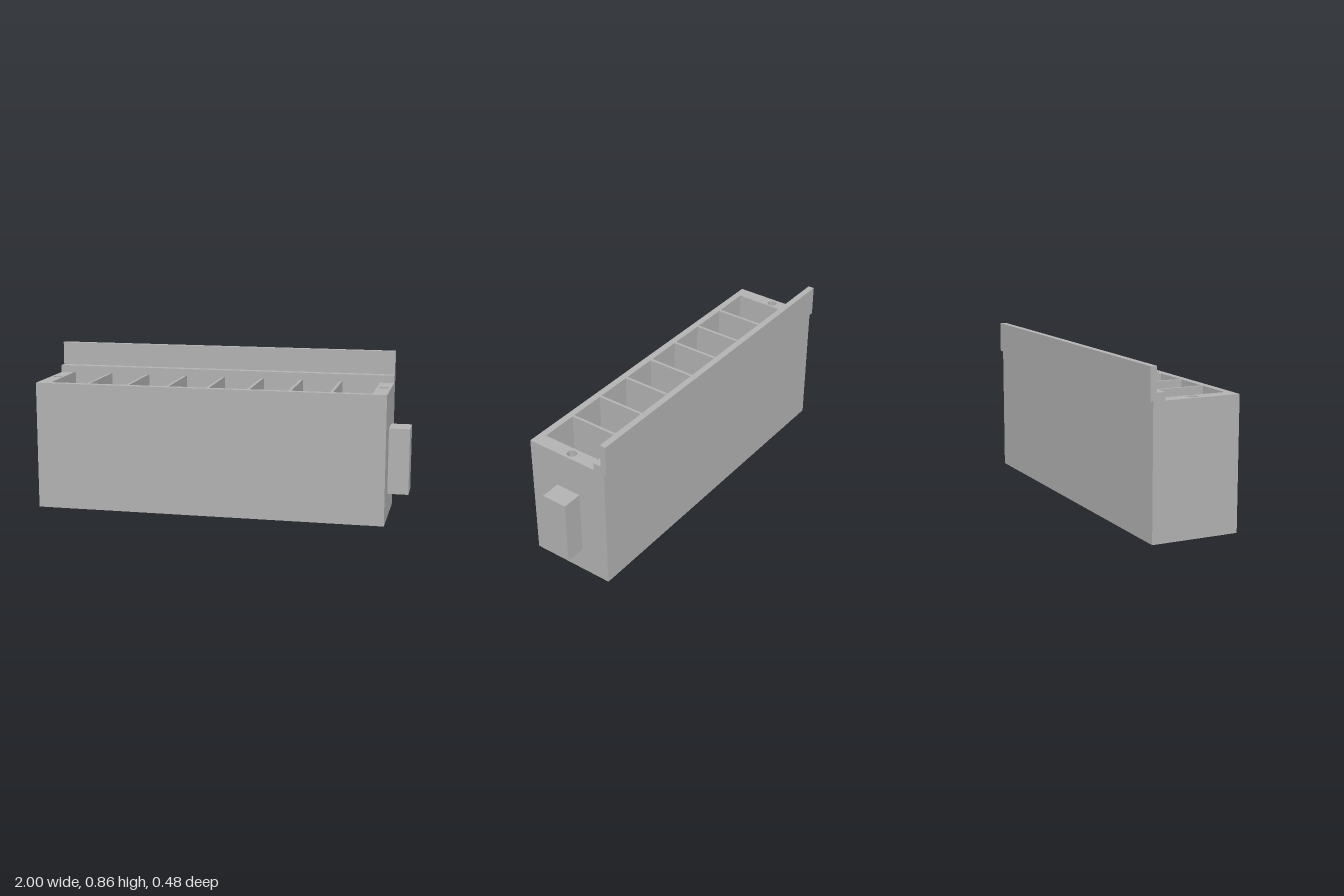
import * as THREE from 'three';
import { toCreasedNormals } from 'three/addons/utils/BufferGeometryUtils.js';

const X0 = -1, X1 = 0.89, Z0 = -0.227, Z1 = 0.242, H = 0.69;
const HOLE_X = [-0.96, 0.852], MID_Z = 0.005;

// Closed rectangular outline added to a shape or path
function rect(path, x0, y0, x1, y1) {
  path.moveTo(x0, y0);
  path.lineTo(x1, y0);
  path.lineTo(x1, y1);
  path.lineTo(x0, y1);
  path.closePath();
  return path;
}

// Plan of the housing with eight open cells; s is the sign relating shape y to z
function plan(s) {
  const shape = rect(new THREE.Shape(), X0, s * Z0, X1, s * Z1);
  const start = -0.925, cell = 0.2037, wall = 0.0155;
  for (let i = 0; i < 8; i++) {
    const x = start + i * (cell + wall);
    shape.holes.push(rect(new THREE.Path(), x, s * -0.19, x + cell, s * 0.205));
  }
  return shape;
}

function addRound(shape, x, y, r) {
  shape.holes.push(new THREE.Path().absarc(x, y, r, 0, Math.PI * 2));
}

export function createModel() {
  const model = new THREE.Group();
  const grey = new THREE.MeshStandardMaterial({ color: 0xb2b2b2, side: THREE.DoubleSide });
  grey.name = 'plain grey';

  const add = (name, geometry, parent = model) => {
    const mesh = new THREE.Mesh(geometry, grey);
    mesh.name = name;
    parent.add(mesh);
    return mesh;
  };

  // Housing: upright walls, then the pierced top and bottom faces
  const housing = new THREE.Group();
  housing.name = 'housing';
  model.add(housing);

  const walls = new THREE.ExtrudeGeometry(plan(-1), { depth: H, bevelEnabled: false });
  const sides = walls.groups.find(g => g.materialIndex === 1);
  const sideOnly = new THREE.BufferGeometry();
  for (const key of ['position', 'normal']) {
    const part = walls.attributes[key].array.slice(sides.start * 3, (sides.start + sides.count) * 3);
    sideOnly.setAttribute(key, new THREE.BufferAttribute(part, 3));
  }
  add('wallsAndDividers', sideOnly.rotateX(-Math.PI / 2), housing);

  const top = plan(-1), bottom = plan(1);

  // Blind screw holes: one per end on top, two per end underneath
  const cup = (name, x, z, r, yOpen, yFloor) => {
    const points = [[0, yFloor], [r, yFloor], [r, yOpen]].map(p => new THREE.Vector2(...p));
    const mesh = add(name, toCreasedNormals(new THREE.LatheGeometry(points, 24), 0.7), housing);
    mesh.position.set(x, 0, z);
  };
  for (const x of HOLE_X) {
    addRound(top, x, -MID_Z, 0.025);
    cup('topHole', x, MID_Z, 0.025, H, H - 0.15);
    for (const z of [MID_Z - 0.127, MID_Z + 0.127]) {
      addRound(bottom, x, z, 0.016);
      cup('bottomHole', x, z, 0.016, 0, 0.15);
    }
  }
  add('topFace', new THREE.ShapeGeometry(top, 24).rotateX(-Math.PI / 2).translate(0, H, 0), housing);
  add('bottomFace', new THREE.ShapeGeometry(bottom, 24).rotateX(Math.PI / 2), housing);

  // Stepped rail along the back edge: profile in (-z, y), extruded along x
  const profile = new THREE.Shape([
    [0.163, H], [0.242, H], [0.242, 0.856], [0.208, 0.856], [0.208, 0.73], [0.163, 0.73],
  ].map(p => new THREE.Vector2(...p)));
  const rail = new THREE.ExtrudeGeometry(profile, { depth: X1 - X0, bevelEnabled: false });
  add('backRail', rail.rotateY(Math.PI / 2).translate(X0, 0, 0));

  // Block on the left end
  add('endBlock', new THREE.BoxGeometry(0.11, 0.352, 0.142)).position.set(0.945, 0.311, 0.008);

  return model;
}
